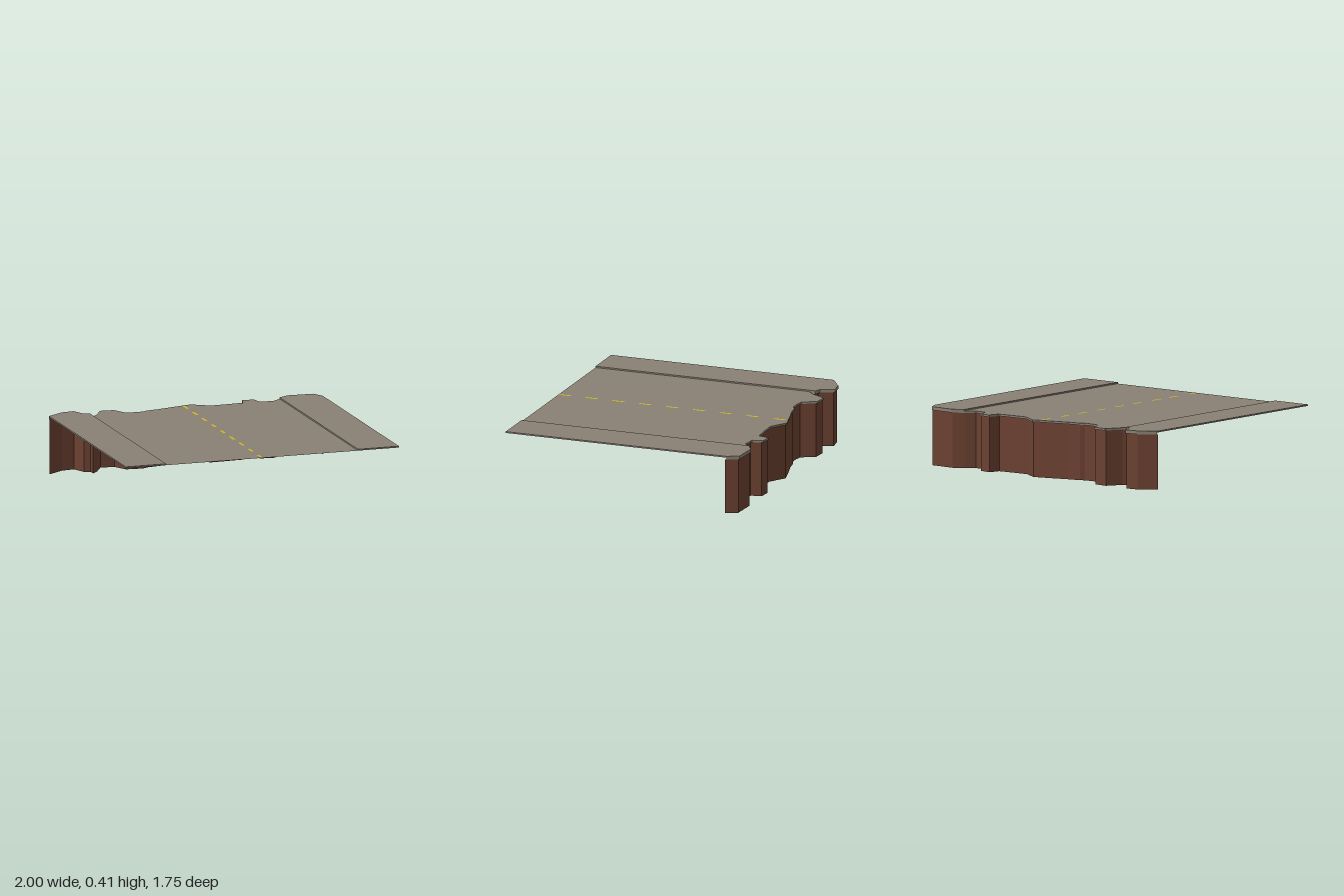
import * as THREE from 'three';

const FRONT = 0.87, CURB = 0.705, ROAD_Y = 0.402, WALK_Y = 0.412, LIP_Y = 0.388, INSET = 0.01;

// Jagged back edge as [x, z], in three stretches: right walk, road, left walk
const edgeRight = [[-1, -0.79], [-0.88, -0.87], [-0.79, -0.88], [-0.75, -0.785], [-CURB, -0.77]];
const edgeRoad = [
  [-CURB, -0.72], [-0.66, -0.765], [-0.6, -0.872], [-0.5, -0.863], [-0.45, -0.765], [-0.39, -0.755],
  [-0.32, -0.755], [-0.29, -0.775], [-0.2, -0.79], [-0.09, -0.82], [0.06, -0.857], [0.18, -0.78],
  [0.28, -0.782], [0.42, -0.79], [0.44, -0.87], [0.525, -0.86], [0.54, -0.785], [0.64, -0.775], [0.7, -0.825],
];
const edgeLeft = [[0.7, -0.825], [0.775, -0.867], [0.96, -0.857], [1, -0.775]];
const edge = [...edgeRight, ...edgeRoad, ...edgeLeft.slice(1)];

// Slab outline from a back edge to the straight front; shape y is -z
function outline(points) {
  const last = points[points.length - 1];
  const all = [...points, [last[0], FRONT], [points[0][0], FRONT]];
  return new THREE.Shape(all.map(([x, z]) => new THREE.Vector2(x, -z)));
}

// Faceted strip facing the back, between two levels of the jagged edge
function strip(yTop, zTop, yBottom, zBottom) {
  const pos = [];
  for (let i = 0; i < edge.length - 1; i++) {
    const [x0, z0] = edge[i], [x1, z1] = edge[i + 1];
    const a = [x0, yTop, z0 + zTop], b = [x1, yTop, z1 + zTop];
    const c = [x1, yBottom, z1 + zBottom], d = [x0, yBottom, z0 + zBottom];
    pos.push(...a, ...b, ...c, ...a, ...c, ...d);
  }
  const geo = new THREE.BufferGeometry();
  geo.setAttribute('position', new THREE.Float32BufferAttribute(pos, 3));
  geo.computeVertexNormals();
  return geo;
}

export function createModel() {
  const group = new THREE.Group();
  const material = (name, color) => {
    const m = new THREE.MeshStandardMaterial({ color, side: THREE.DoubleSide });
    m.name = name;
    return m;
  };
  const stone = material('grey paving', 0x8a8175);
  const earth = material('brown earth', 0x6b4131);
  const paint = material('yellow paint', 0xd2bb16);
  const add = (name, geo, mat) => {
    const mesh = new THREE.Mesh(geo, mat);
    mesh.name = name;
    group.add(mesh);
    return mesh;
  };

  // Road surface
  add('road', new THREE.ShapeGeometry(outline(edgeRoad)).rotateX(-Math.PI / 2).translate(0, ROAD_Y, 0), stone);

  // Raised sidewalks
  for (const [name, points] of [['rightSidewalk', edgeRight], ['leftSidewalk', edgeLeft]]) {
    const geo = new THREE.ExtrudeGeometry(outline(points), { depth: WALK_Y - ROAD_Y, bevelEnabled: false });
    add(name, geo.rotateX(-Math.PI / 2).translate(0, ROAD_Y, 0), stone);
  }

  // Broken paving edge with its small overhang
  add('brokenEdge', strip(ROAD_Y, 0, LIP_Y, 0), stone);
  add('edgeUnderside', strip(LIP_Y, 0, LIP_Y, INSET), stone);

  // Earth cliff below the broken edge
  add('cliff', strip(LIP_Y, INSET, 0, INSET), earth);

  // Dashed centre line
  for (let i = 0; i < 9; i++) {
    const geo = new THREE.PlaneGeometry(0.018, 0.09).rotateX(-Math.PI / 2);
    add('laneDash', geo, paint).position.set(-0.002, ROAD_Y + 0.001, -0.778 + i * 0.2);
  }
  return group;
}
